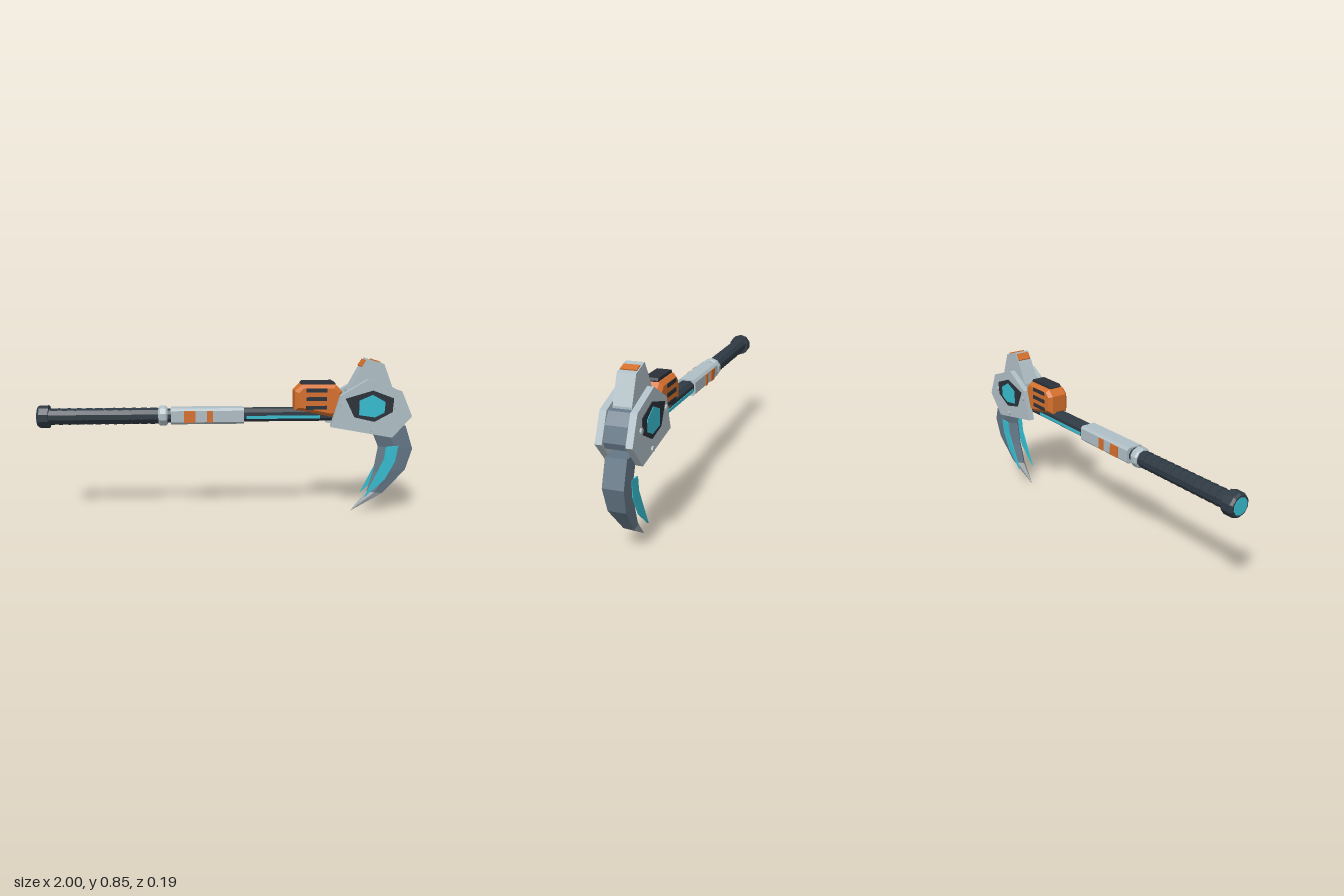
import * as THREE from 'three';

const mat = (name, color) => {
  const m = new THREE.MeshStandardMaterial({ color, flatShading: true });
  m.name = name;
  return m;
};

export function createModel() {
  const light = mat('light metal', 0xafbec5);
  const tipGrey = mat('tip metal', 0x949da0);
  const slate = mat('slate steel', 0x647686);
  const dark = mat('dark grip', 0x2f3a44);
  const black = mat('dark inlay', 0x2b3139);
  const orange = mat('orange', 0xd6702c);
  const teal = mat('teal glow', 0x36bccf);

  const root = new THREE.Group();
  root.name = 'warPick';
  const AXIS = 0.545; // height of the shaft centre line

  const add = (name, geo, material) => {
    const m = new THREE.Mesh(geo, material);
    m.name = name;
    root.add(m);
    return m;
  };
  const shapeOf = pts => new THREE.Shape(pts.map(p => new THREE.Vector2(p[0], p[1])));

  // flat plate with an x/y outline between two z values, optionally chamfered
  const slab = (name, pts, z0, z1, material, bevel = 0) => {
    const geo = new THREE.ExtrudeGeometry(shapeOf(pts), {
      depth: z1 - z0 - 2 * bevel, bevelEnabled: bevel > 0, bevelSegments: 1,
      bevelSize: bevel, bevelThickness: bevel, bevelOffset: -bevel,
    });
    geo.translate(0, 0, z0 + bevel);
    return add(name, geo, material);
  };
  const slabPair = (name, pts, z0, z1, material, bevel = 0) => {
    slab(name + 'Front', pts, z0, z1, material, bevel);
    slab(name + 'Back', pts, -z1, -z0, material, bevel);
  };
  const rect = (x0, x1, y0, y1) => [[x0, y0], [x1, y0], [x1, y1], [x0, y1]];

  // ring or rod along x
  const rod = (name, x0, x1, r0, r1, material, sides = 10) => {
    const geo = new THREE.CylinderGeometry(r1, r0, x1 - x0, sides);
    geo.rotateY(Math.PI / sides);
    geo.rotateZ(-Math.PI / 2);
    geo.translate((x0 + x1) / 2, AXIS, 0);
    return add(name, geo, material);
  };

  // bar along x with chamfered long edges
  const bar = (name, x0, x1, y0, y1, hz, c, material) => {
    const pts = [[-hz + c, y0], [hz - c, y0], [hz, y0 + c], [hz, y1 - c],
      [hz - c, y1], [-hz + c, y1], [-hz, y1 - c], [-hz, y0 + c]];
    const geo = new THREE.ExtrudeGeometry(shapeOf(pts), { depth: x1 - x0, bevelEnabled: false });
    geo.rotateY(Math.PI / 2);
    geo.translate(x0, 0, 0);
    return add(name, geo, material);
  };

  // pommel
  rod('pommelRim', -0.997, -0.985, 0.052, 0.061, dark);
  rod('pommel', -0.985, -0.937, 0.061, 0.061, dark);
  rod('pommelLens', -1.0, -0.996, 0.043, 0.043, teal);

  // wrapped grip
  const wraps = 12, g0 = -0.937, step = 0.575 / wraps;
  for (let i = 0; i < wraps; i++) {
    const x = g0 + i * step;
    rod('gripWrap', x, x + step, 0.045, 0.042, dark);
  }

  // collar
  rod('collarLeftEdge', -0.366, -0.356, 0.046, 0.054, light);
  rod('collar', -0.356, -0.328, 0.054, 0.054, light);
  rod('collarRightEdge', -0.328, -0.318, 0.054, 0.046, light);
  rod('collarNeck', -0.32, -0.295, 0.038, 0.038, dark);

  // light sleeve with orange markings
  bar('sleeve', -0.3, 0.085, 0.504, 0.588, 0.05, 0.012, light);
  slabPair('wideMark', rect(-0.23, -0.17, 0.515, 0.576), 0.049, 0.056, orange);
  slabPair('narrowMark', rect(-0.11, -0.078, 0.515, 0.576), 0.049, 0.056, orange);

  // forward shaft with glowing strips
  bar('shaft', 0.085, 0.66, 0.513, 0.582, 0.041, 0.018, dark);
  slabPair('shaftGlow', rect(0.1, 0.49, 0.53, 0.546), 0.038, 0.045, teal);

  // power housing
  slab('housing', [[0.355, 0.575], [0.41, 0.568], [0.54, 0.54], [0.605, 0.54], [0.605, 0.675],
    [0.57, 0.71], [0.39, 0.71], [0.355, 0.675]], -0.061, 0.061, orange, 0.018);
  slab('housingCap', [[0.39, 0.705], [0.57, 0.705], [0.57, 0.716], [0.56, 0.726],
    [0.4, 0.726], [0.39, 0.716]], -0.036, 0.036, black);
  for (const y of [0.59, 0.636, 0.682])
    slabPair('vent', rect(0.413, 0.522, y - 0.01, y + 0.01), 0.058, 0.066, black);

  // head core and crest
  slab('headCore', [[0.62, 0.53], [0.85, 0.51], [0.95, 0.52], [0.962, 0.55], [0.94, 0.62],
    [0.9, 0.67], [0.85, 0.682], [0.63, 0.65]], -0.053, 0.053, slate);
  slab('crest', [[0.63, 0.6], [0.88, 0.6], [0.878, 0.685], [0.826, 0.817], [0.735, 0.845],
    [0.698, 0.785], [0.64, 0.675]], -0.044, 0.044, light);
  slab('crestMarkRight', [[0.766, 0.83], [0.805, 0.818], [0.808, 0.828], [0.769, 0.84]], -0.038, 0.038, orange);
  slab('crestMarkLeft', [[0.71, 0.798], [0.733, 0.837], [0.724, 0.838], [0.702, 0.806]], -0.038, 0.038, orange);

  // cheek plates with inlays and bolts
  slabPair('cheekPlate', [[0.543, 0.489], [0.874, 0.428], [0.976, 0.543], [0.917, 0.676],
    [0.735, 0.74], [0.59, 0.655]], 0.053, 0.085, light);
  slabPair('cheekInlay', [[0.666, 0.541], [0.773, 0.516], [0.869, 0.567], [0.874, 0.64],
    [0.762, 0.682], [0.617, 0.64]], 0.082, 0.089, black);
  slabPair('cheekLens', [[0.69, 0.553], [0.775, 0.54], [0.825, 0.565], [0.828, 0.622],
    [0.76, 0.66], [0.69, 0.63]], 0.086, 0.092, teal);
  for (const [x, y] of [[0.603, 0.607], [0.89, 0.592], [0.77, 0.47]])
    for (const s of [1, -1]) {
      const geo = new THREE.CylinderGeometry(0.013, 0.013, 0.014, 8);
      geo.rotateX(Math.PI / 2);
      geo.translate(x, y, s * 0.087);
      add('bolt', geo, light);
    }

  // curved blade: sections of outer x, y, inner x, y and half width
  const sections = [
    [0.955, 0.485, 0.77, 0.482, 0.05],
    [0.997, 0.36, 0.822, 0.365, 0.05],
    [0.965, 0.243, 0.8, 0.222, 0.043],
    [0.85, 0.107, 0.768, 0.112, 0.026],
    [0.68, 0, 0.68, 0, 0],
  ];
  const loop = ([ox, oy, ix, iy, w]) => {
    const mx = ox + (ix - ox) * 0.55, my = oy + (iy - oy) * 0.55;
    return [[ox, oy, w], [mx, my, w], [ix, iy, 0], [mx, my, -w], [ox, oy, -w]];
  };
  const loft = (name, list, material) => {
    const loops = list.map(loop), pos = [];
    const tri = (...c) => c.forEach(p => pos.push(...p));
    for (let s = 0; s + 1 < loops.length; s++)
      for (let i = 0; i < 5; i++) {
        const a = loops[s], b = loops[s + 1], j = (i + 1) % 5;
        tri(a[i], a[j], b[j]);
        tri(a[i], b[j], b[i]);
      }
    const top = loops[0];
    for (let i = 1; i < 4; i++) tri(top[0], top[i + 1], top[i]);
    const geo = new THREE.BufferGeometry();
    geo.setAttribute('position', new THREE.Float32BufferAttribute(pos, 3));
    geo.computeVertexNormals();
    add(name, geo, material);
  };
  loft('blade', sections.slice(0, 4), slate);
  loft('bladeTip', sections.slice(3), tipGrey);
  slabPair('bladeGlow', [[0.745, 0.093], [0.853, 0.19], [0.906, 0.29], [0.92, 0.377],
    [0.853, 0.37], [0.845, 0.3], [0.8, 0.205]], 0.045, 0.052, teal);

  return root;
}
